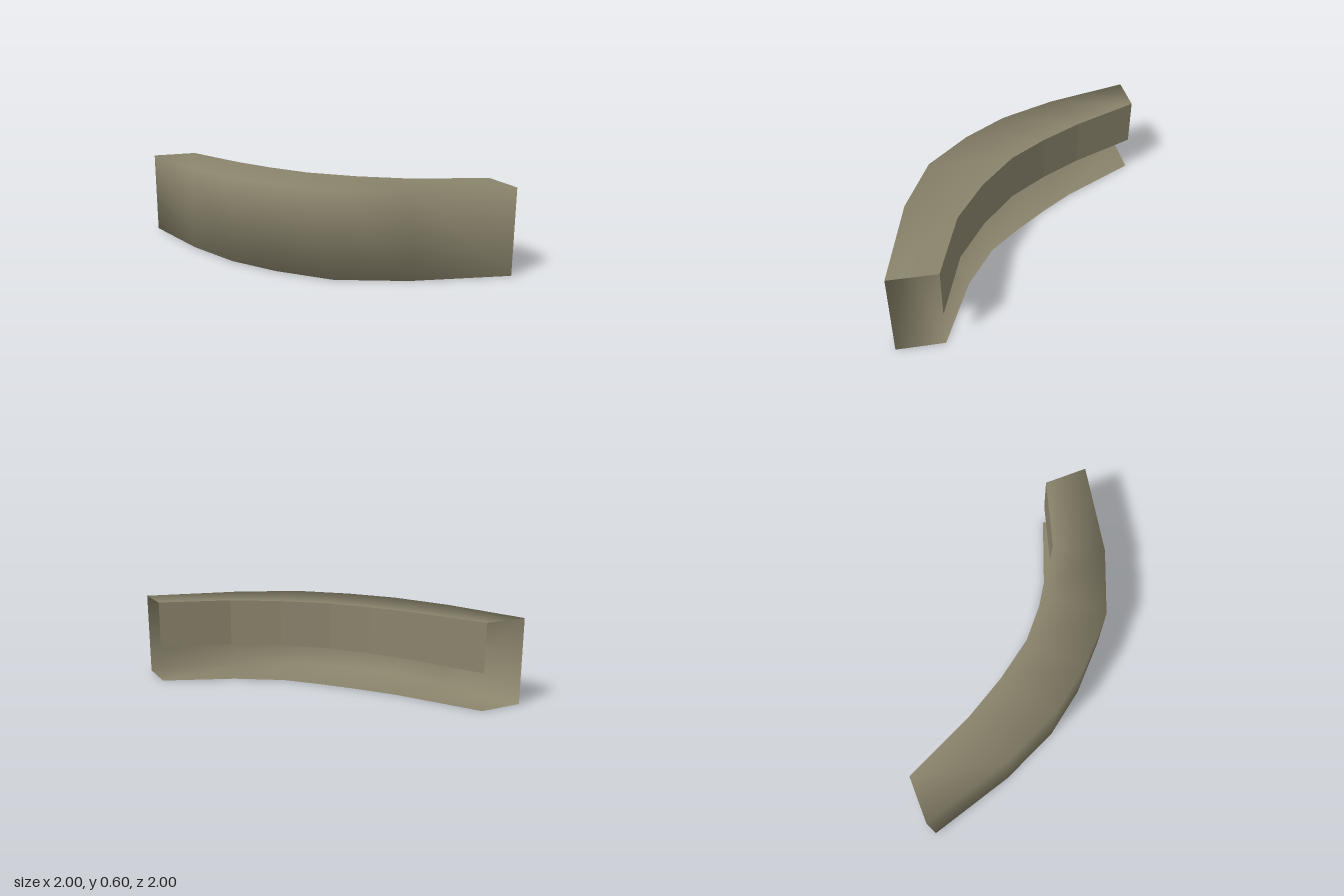
import * as THREE from 'three';

// Plan curves as [x, z], running from the back end to the side end
const outer = [[-1, -1], [-0.83, -0.38], [-0.65, 0.04], [-0.43, 0.35], [-0.13, 0.65], [0.32, 0.845], [1, 0.995]];
const inner = [[-0.68, -1], [-0.46, -0.51], [-0.29, -0.21], [-0.1, 0.06], [0.18, 0.31], [0.5, 0.515], [1, 0.675]];
const lip = [[-0.68, -1], [-0.37, -0.44], [-0.2, -0.2], [-0.02, 0.03], [0.18, 0.26], [0.5, 0.47], [1, 0.675]];
const HEIGHT = 0.6, SKIRT = 0.26;

// Joins rows of points, each a plan curve at one height, into a sheet
function sheet(rows) {
  const n = rows[0][0].length, pos = [], index = [];
  for (const [curve, y] of rows) for (const [x, z] of curve) pos.push(x, y, z);
  for (let r = 0; r < rows.length - 1; r++) {
    for (let i = 0; i < n - 1; i++) {
      const a = r * n + i, b = a + n;
      index.push(a, b, b + 1, a, b + 1, a + 1);
    }
  }
  const g = new THREE.BufferGeometry();
  g.setAttribute('position', new THREE.Float32BufferAttribute(pos, 3));
  g.setIndex(index);
  g.computeVertexNormals();
  return g;
}

export function createModel() {
  const group = new THREE.Group();
  group.name = 'curvedChannel';
  const material = new THREE.MeshStandardMaterial({ color: 0x8a846c, side: THREE.DoubleSide });
  material.name = 'khakiGrey';

  const add = (name, geometry) => {
    const mesh = new THREE.Mesh(geometry, material);
    mesh.name = name;
    group.add(mesh);
  };

  // Top, outer wall and bottom flange share smooth normals
  add('outerShell', sheet([[inner, HEIGHT], [outer, HEIGHT], [outer, 0], [lip, 0]]));

  // Faceted skirt hanging from the inner top edge
  const skirt = sheet([[inner, SKIRT], [inner, HEIGHT]]).toNonIndexed();
  skirt.computeVertexNormals();
  add('innerSkirt', skirt);

  return group;
}
